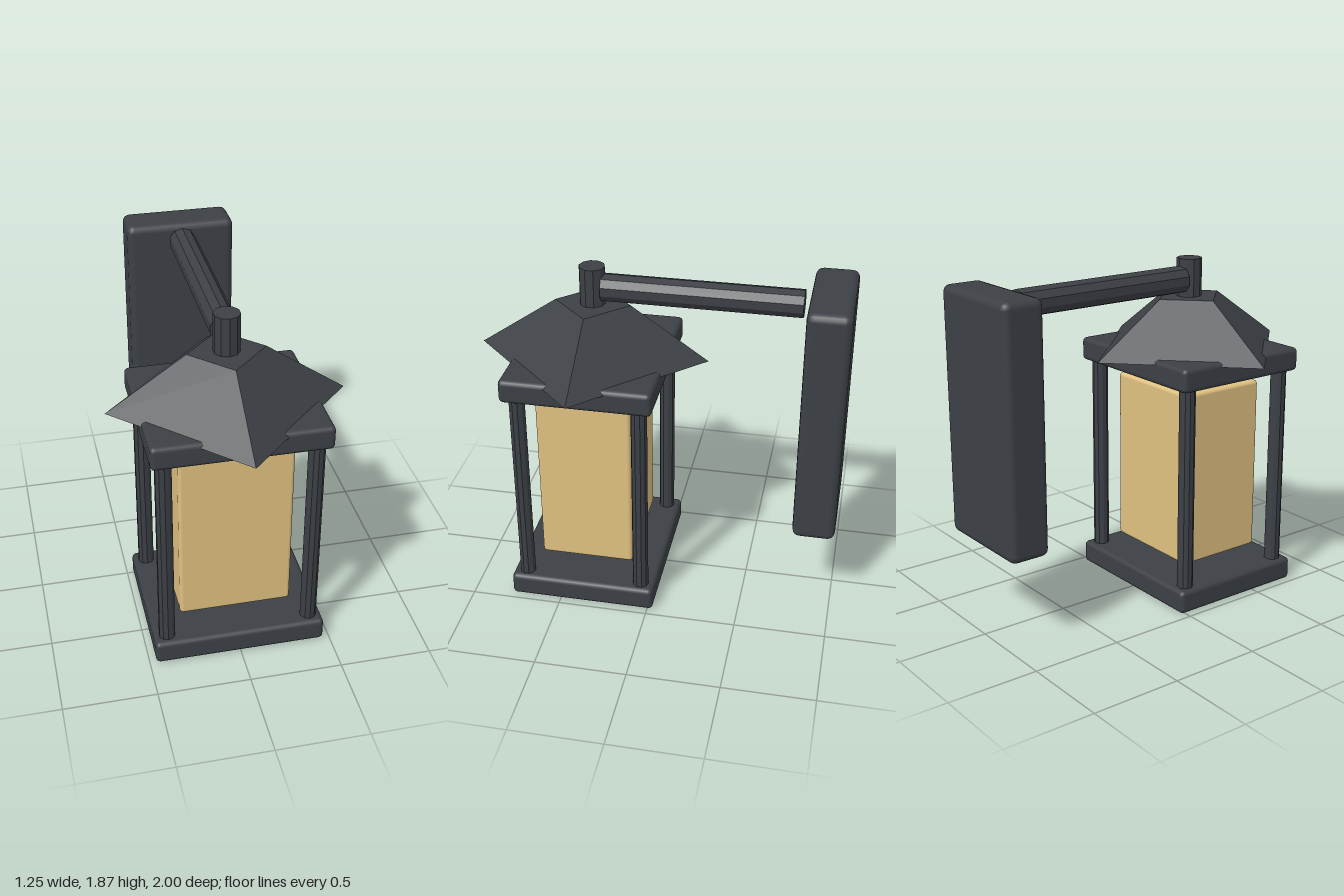
import * as THREE from 'three';
import { RoundedBoxGeometry } from 'three/addons/geometries/RoundedBoxGeometry.js';

export function createModel() {
  const model = new THREE.Group();
  model.name = 'wallLantern';

  const metal = new THREE.MeshStandardMaterial({ color: 0x3c4045 });
  const metalFlat = new THREE.MeshStandardMaterial({ color: 0x3c4045 });
  metalFlat.flatShading = true;
  const amber = new THREE.MeshStandardMaterial({ color: 0xdfc080 });
  const Z = 0.375; // centre line of the lantern body

  function add(name, geometry, material, x, y, z) {
    const mesh = new THREE.Mesh(geometry, material);
    mesh.name = name;
    mesh.position.set(x, y, z);
    model.add(mesh);
    return mesh;
  }

  // Bevelled box given by its size and the height of its underside
  function box(name, w, h, d, bevel, bottom, z, material) {
    return add(name, new RoundedBoxGeometry(w, h, d, 2, bevel), material, 0, bottom + h / 2, z);
  }

  // Lantern body
  box('basePlate', 0.93, 0.13, 0.81, 0.025, 0, Z, metal);
  box('topPlate', 0.93, 0.13, 0.81, 0.025, 1.257, Z, metal);
  box('glass', 0.61, 0.99, 0.52, 0.02, 0.2, Z, amber);

  // Corner posts
  const post = new THREE.CylinderGeometry(0.044, 0.044, 1.17, 10);
  for (const [sideName, sx] of [['left', 1], ['right', -1]]) {
    for (const [endName, sz] of [['Front', 1], ['Back', -1]]) {
      add(`${sideName}${endName}Post`, post, metalFlat, sx * 0.393, 0.695, Z + sz * 0.327);
    }
  }

  // Four-sided roof, turned so its corners lie on the axes
  add('roof', new THREE.CylinderGeometry(0.205, 0.625, 0.29, 4), metalFlat, 0, 1.51, Z);

  // Hanger: stem on the roof and arm reaching to the wall
  add('stem', new THREE.CylinderGeometry(0.07, 0.07, 0.23, 10), metalFlat, 0, 1.75, Z);
  const arm = add('arm', new THREE.CylinderGeometry(0.075, 0.075, 1.06, 10), metalFlat, 0, 1.75, -0.21);
  arm.rotation.x = Math.PI / 2;

  // Wall plate
  box('wallPlate', 0.61, 1.34, 0.23, 0.04, 0.495, -0.885, metal);

  return model;
}
